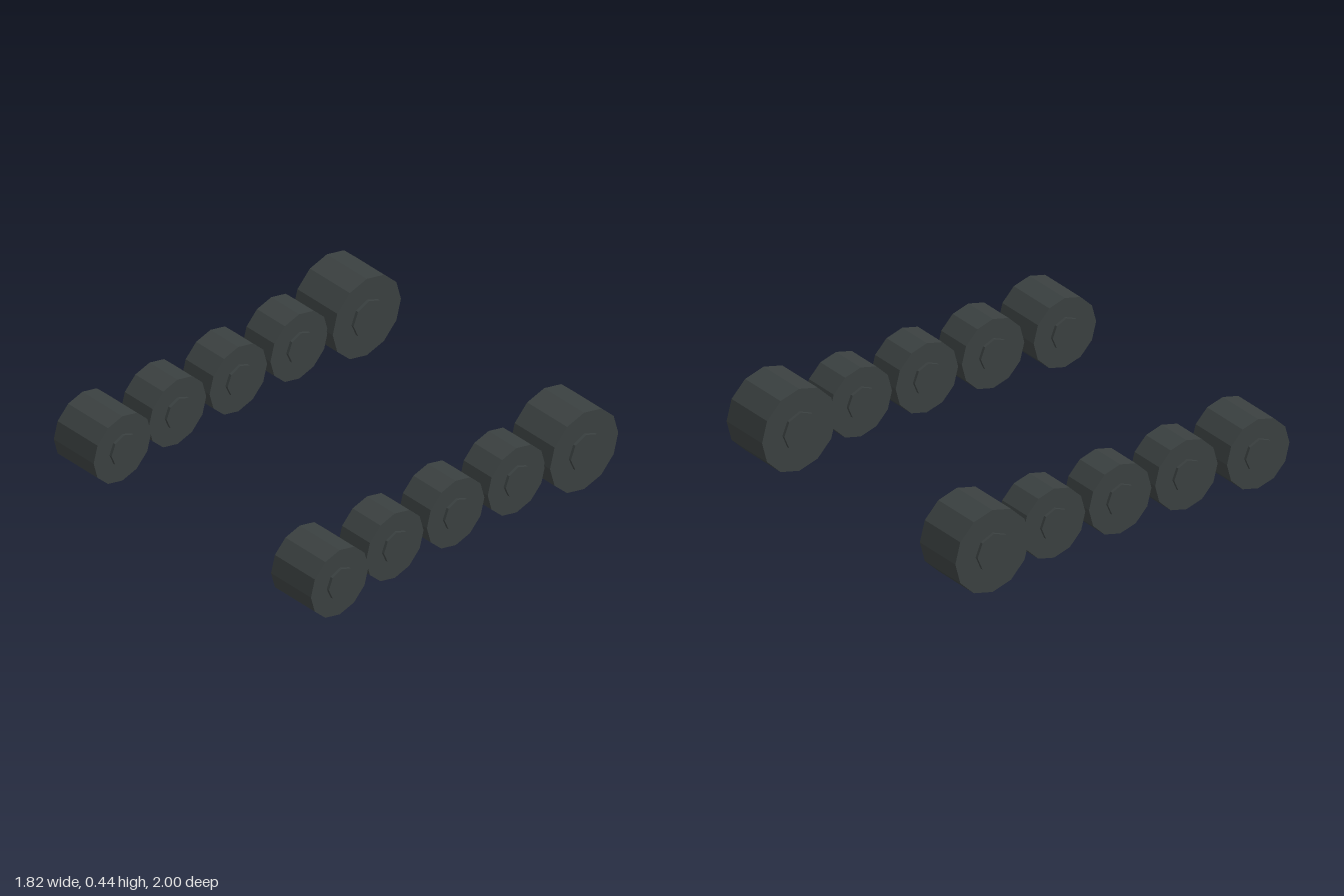
import * as THREE from 'three';

const rubber = new THREE.MeshStandardMaterial({ color: 0x3a4040, flatShading: true });
rubber.name = 'dark grey rubber';

const AXLE_Y = 0.222;
const TRACK_X = 0.757;

// Faceted disc lying along x, with a corner pointing straight up
function disc(name, radius, width, sides) {
  const geometry = new THREE.CylinderGeometry(radius, radius, width, sides);
  geometry.rotateZ(Math.PI / 2);
  const mesh = new THREE.Mesh(geometry, rubber);
  mesh.name = name;
  return mesh;
}

// Wheel with a hub standing slightly proud on both sides
function wheel(name, radius, width, hubRadius, hubWidth) {
  const group = new THREE.Group();
  group.name = name;
  group.add(disc('tyre', radius, width, 12), disc('hub', hubRadius, hubWidth, 8));
  return group;
}

export function createModel() {
  const model = new THREE.Group();
  model.name = 'runningGear';

  for (const side of [1, -1]) {
    const row = new THREE.Group();
    row.name = side > 0 ? 'leftWheels' : 'rightWheels';

    // Wide wheel at the front, larger wide wheel at the back
    const front = wheel('frontWheel', 0.187, 0.278, 0.084, 0.308);
    front.position.z = 0.813;
    const rear = wheel('rearWheel', 0.222, 0.278, 0.1, 0.308);
    rear.position.z = -0.778;
    row.add(front, rear);

    // Three narrow road wheels between them
    for (let i = 0; i < 3; i++) {
      const road = wheel('roadWheel' + (i + 1), 0.187, 0.194, 0.084, 0.224);
      road.position.z = 0.415 - i * 0.396;
      row.add(road);
    }

    row.position.set(side * TRACK_X, AXLE_Y, 0);
    model.add(row);
  }
  return model;
}
